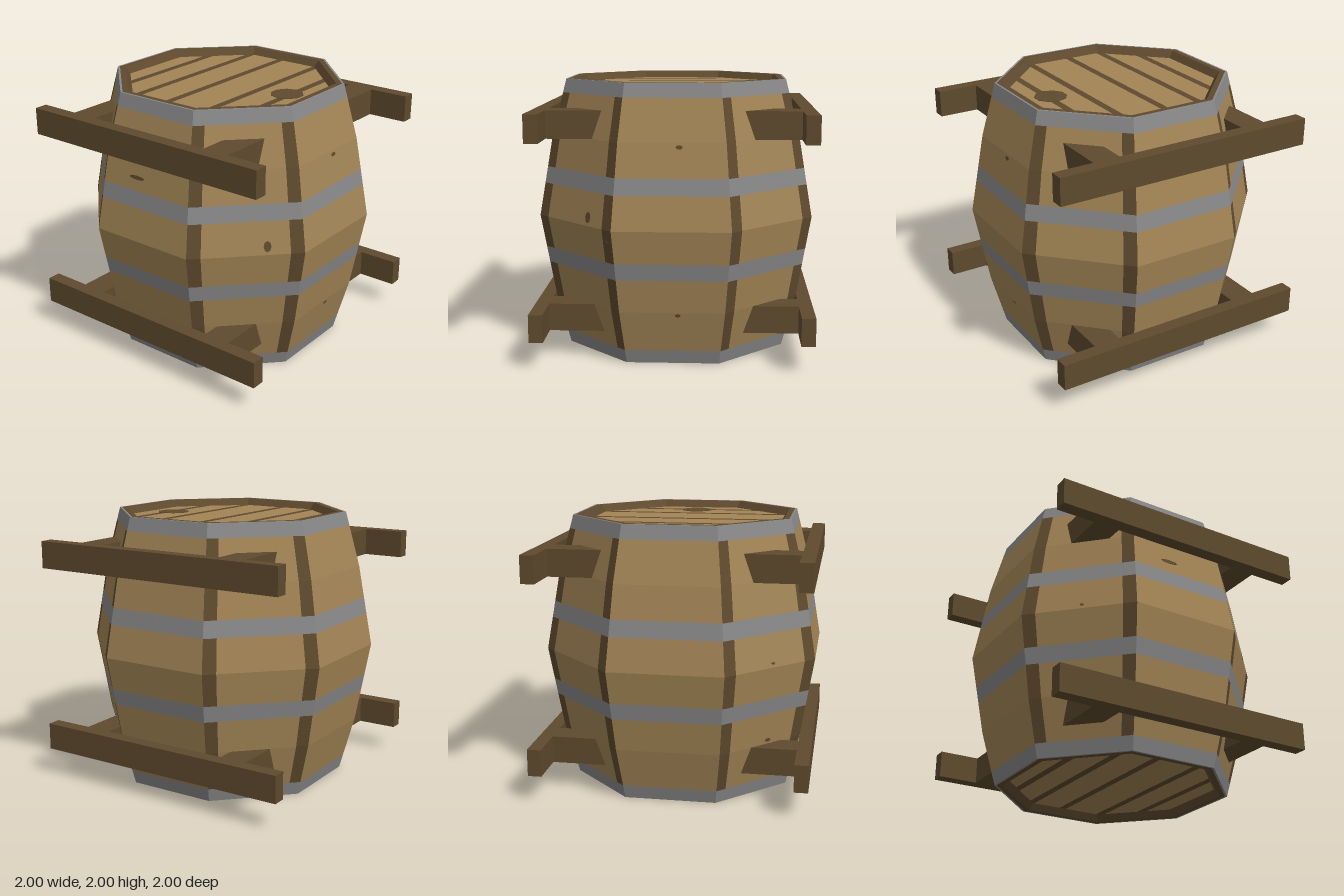
import * as THREE from 'three';

const material = (name, color) => {
  const m = new THREE.MeshStandardMaterial({ color });
  m.name = name;
  return m;
};

// Collects flat quads (counter-clockwise from outside) into one geometry
class Quads {
  constructor() { this.p = []; }
  add(a, b, c, d) { for (const v of [a, b, c, a, c, d]) this.p.push(...v); }
  mesh(name, mat) {
    const g = new THREE.BufferGeometry();
    g.setAttribute('position', new THREE.Float32BufferAttribute(this.p, 3));
    g.computeVertexNormals();
    const m = new THREE.Mesh(g, mat);
    m.name = name;
    return m;
  }
}

const TAN = Math.tan(Math.PI / 8);

// Distance from the axis to a flat side of the barrel at height y
function radiusAt(y) {
  const d = Math.abs(y - 1);
  return d < 0.6 ? 1 - d / 6 : 0.9 - (d - 0.6) * 0.25;
}

// Point on side k, u from -1 to 1 across the side
function sidePoint(k, u, r, y) {
  const a = k * Math.PI / 4, t = u * r * TAN;
  return [Math.sin(a) * r + Math.cos(a) * t, y, Math.cos(a) * r - Math.sin(a) * t];
}

export function createModel() {
  const wood = material('light wood', 0xa38556);
  const dark = material('dark wood', 0x5f4a2e);
  const iron = material('grey iron', 0x888888);
  const model = new THREE.Group();
  model.name = 'barrel on rails';

  const addMesh = (name, geo, mat, parent = model) => {
    const m = new THREE.Mesh(geo, mat);
    m.name = name;
    parent.add(m);
    return m;
  };

  // Barrel shell: eight sides, wooden staves, iron hoops, rims at both ends
  const staves = new Quads(), joints = new Quads(), hoops = new Quads(), rims = new Quads();
  const heights = [0, 0.1, 0.4, 0.64, 0.76, 1, 1.24, 1.36, 1.6, 1.9, 2];
  const hoopRows = [0, 3, 6, 9];
  for (let k = 0; k < 8; k++) {
    const strip = (target, u0, u1, r0, y0, r1, y1) => target.add(
      sidePoint(k, u0, r0, y0), sidePoint(k, u1, r0, y0),
      sidePoint(k, u1, r1, y1), sidePoint(k, u0, r1, y1));
    for (let i = 0; i < heights.length - 1; i++) {
      const y0 = heights[i], y1 = heights[i + 1];
      const span = [radiusAt(y0), y0, radiusAt(y1), y1];
      if (hoopRows.includes(i)) strip(hoops, -1, 1, ...span);
      else if (k % 2 === 0) strip(staves, -1, 1, ...span);
      else {
        strip(joints, -1, -0.76, ...span);
        strip(staves, -0.76, 0.76, ...span);
        strip(joints, 0.76, 1, ...span);
      }
    }
    // Iron edge, wooden rim and inner wall, top and bottom
    const rim = [[0.8, 2], [0.785, 2], [0.745, 2], [0.71, 1.95]];
    for (let i = 0; i < 3; i++) {
      const [r0, y0] = rim[i], [r1, y1] = rim[i + 1];
      const target = i === 0 ? hoops : rims;
      strip(target, -1, 1, r0, y0, r1, y1);
      strip(target, -1, 1, r1, 2 - y1, r0, 2 - y0);
    }
  }

  // Octagonal lids cut into planks and dark gaps
  const planks = new Quads(), gaps = new Quads();
  const R = 0.71, gapCentres = [-0.55, -0.31, -0.03, 0.305, 0.55], half = 0.028;
  const cuts = [-R, -R * TAN, R * TAN, R, ...gapCentres.flatMap(c => [c - half, c + half])]
    .sort((a, b) => a - b);
  const reach = x => Math.min(R, R * Math.SQRT2 - Math.abs(x));
  for (let i = 0; i < cuts.length - 1; i++) {
    const a = cuts[i], b = cuts[i + 1], fa = reach(a), fb = reach(b);
    const isGap = gapCentres.some(c => Math.abs((a + b) / 2 - c) < half);
    const target = isGap ? gaps : planks;
    target.add([a, 1.95, fa], [b, 1.95, fb], [b, 1.95, -fb], [a, 1.95, -fa]);
    target.add([a, 0.05, -fa], [b, 0.05, -fb], [b, 0.05, fb], [a, 0.05, fa]);
  }

  model.add(
    staves.mesh('staves', wood), joints.mesh('staveJoints', dark),
    hoops.mesh('hoops', iron), rims.mesh('rims', dark),
    planks.mesh('lidPlanks', wood), gaps.mesh('lidGaps', dark));

  // Wood knots: [side, offset along the side, height, width, tall]
  const knots = [
    [0, -0.085, 1.455, 0.14, 0.03],
    [1, 0.15, 1.06, 0.055, 0.08], [1, 0.345, 0.91, 0.035, 0.03],
    [7, 0.02, 1.03, 0.03, 0.02], [7, 0.06, 0.43, 0.05, 0.03],
    [2, 0.05, 1.57, 0.05, 0.03], [2, 0.04, 0.38, 0.04, 0.025],
  ];
  for (const [k, offset, y, w, h] of knots) {
    const r = radiusAt(y);
    const slope = (radiusAt(y + 0.005) - radiusAt(y - 0.005)) / 0.01;
    const geo = new THREE.CylinderGeometry(0.5, 0.5, 0.006, 8)
      .rotateX(Math.PI / 2).scale(w, h, 1)
      .rotateX(Math.atan(slope)).rotateY(k * Math.PI / 4);
    addMesh('knot', geo, dark).position.set(...sidePoint(k, offset / (r * TAN), r, y));
  }
  addMesh('lidKnot', new THREE.CylinderGeometry(0.12, 0.12, 0.006, 10), dark)
    .position.set(0.525, 1.95, -0.01);

  // Carrying rails front and back, joined to the barrel by short blocks
  for (const z of [-1, 1]) for (const y of [0.3, 1.7]) {
    const rail = new THREE.Group();
    rail.name = 'rail';
    addMesh('railBar', new THREE.BoxGeometry(2, 0.2, 0.1), dark, rail).position.set(0, y, z * 0.95);
    for (const x of [-1, 1]) {
      addMesh('railBlock', new THREE.BoxGeometry(0.2, 0.2, 0.42), dark, rail)
        .position.set(x * 0.6, y, z * 0.69);
    }
    model.add(rail);
  }
  return model;
}
